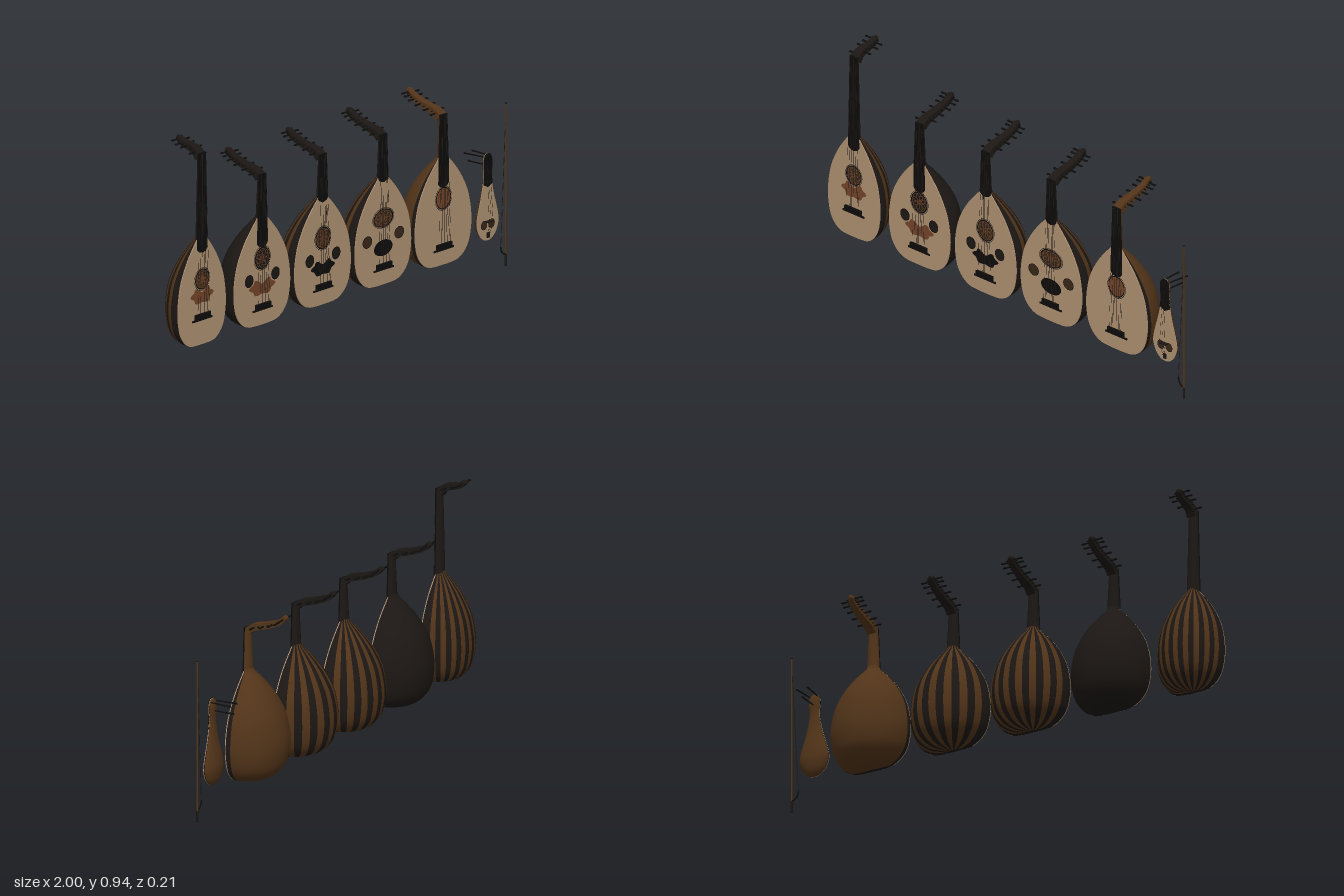
import * as THREE from 'three';

const FRONT = 0.083; // z of every soundboard
const paint = (color) => new THREE.MeshStandardMaterial({ color, side: THREE.DoubleSide });
const PALE = paint(0xb09272), BROWN = paint(0x523419), DARK = paint(0x1c1714);
const BLACK = paint(0x0d0c0b), RUST = paint(0x75452a), ROSE = paint(0x3a2819);

function add(parent, name, geo, mat, x = 0, y = 0, z = 0) {
  const m = new THREE.Mesh(geo, mat);
  m.name = name;
  m.position.set(x, y, z);
  parent.add(m);
  return m;
}

// Thin rod between two points
function rod(parent, name, a, b, r, mat, sides = 8, r2 = r) {
  const A = new THREE.Vector3(...a), B = new THREE.Vector3(...b);
  const m = add(parent, name, new THREE.CylinderGeometry(r2, r, A.distanceTo(B), sides), mat);
  m.position.copy(A).lerp(B, 0.5);
  m.quaternion.setFromUnitVectors(new THREE.Vector3(0, 1, 0), B.sub(A).normalize());
  return m;
}

const smooth = (pts, k = 1, n = 44) =>
  new THREE.SplineCurve(pts.map(([r, y]) => new THREE.Vector2(r * k, y))).getPoints(n)
    .map((p) => new THREE.Vector2(Math.max(p.x, 0), p.y));

// Flat plate with a mirrored outline
function plate(parent, name, profile, depth, mat, z) {
  const mirrored = profile.map((p) => new THREE.Vector2(-p.x, p.y)).reverse();
  const geo = new THREE.ExtrudeGeometry(new THREE.Shape([...profile, ...mirrored]), { depth, bevelEnabled: false });
  return add(parent, name, geo, mat, 0, 0, z);
}

// Half-round bowl from ribs in alternating woods, with dark rim strips
function bowl(parent, profile, ribs, woods, depthScale = 1) {
  const group = new THREE.Group();
  group.name = 'bowl';
  group.position.z = FRONT;
  group.scale.z = depthScale;
  parent.add(group);
  const rim = 0.13, step = (Math.PI - 2 * rim) / ribs;
  const slice = (name, start, length, mat) =>
    add(group, name, new THREE.LatheGeometry(profile, Math.ceil(length / 0.07), Math.PI / 2 + start, length), mat);
  slice('rimStrip', 0, rim, DARK);
  slice('rimStrip', Math.PI - rim, rim, DARK);
  for (let i = 0; i < ribs; i++) slice('rib', rim + i * step, step, woods[i % woods.length]);
}

// Sound hole: disc, rim rings and a small interlace
function soundHole(parent, x, y, rx, ry, mat, lattice) {
  const g = new THREE.Group();
  g.name = 'soundHole';
  g.position.set(x, y, 0.0855);
  g.scale.set(rx, ry, 1);
  parent.add(g);
  add(g, 'disc', new THREE.CircleGeometry(0.93, 40), mat);
  add(g, 'rimRing', new THREE.RingGeometry(0.9, 1, 40), BLACK, 0, 0, 0.0004);
  if (!lattice) return;
  add(g, 'outerRing', new THREE.RingGeometry(1.05, 1.1, 40), DARK);
  for (let i = 0; i < 8; i++) {
    const a = i * Math.PI / 4;
    add(g, 'lattice', new THREE.RingGeometry(0.36, 0.42, 20), RUST, 0.46 * Math.cos(a), 0.46 * Math.sin(a), 0.0006);
  }
}

// Cloud-shaped or oval guard below the sound hole
function pickGuard(parent, y, w, h, mat, oval) {
  const pts = [];
  for (let i = 0; i < 60; i++) {
    const a = i / 60 * Math.PI * 2;
    const k = oval ? 1 : 0.9 + 0.1 * Math.cos(6 * a);
    const notch = oval ? 0 : 0.5 * Math.exp(-(((a - Math.PI / 2) / 0.4) ** 2));
    pts.push(new THREE.Vector2(w * k * Math.cos(a), h * (k - notch) * Math.sin(a)));
  }
  add(parent, 'pickGuard', new THREE.ShapeGeometry(new THREE.Shape(pts)), mat, 0, y, 0.0856);
}

// Bent-back tapered pegbox with side pegs; path points are [z, y]
function pegbox(parent, path, pegs, mat) {
  const curve = new THREE.SplineCurve(path.map((p) => new THREE.Vector2(...p)));
  const upper = [], lower = [], zTip = path.at(-1)[0];
  for (let i = 0; i <= 24; i++) {
    const t = i / 24, p = curve.getPoint(t), d = curve.getTangent(t);
    const half = 0.015 - 0.006 * t;
    upper.push(new THREE.Vector2(p.x + d.y * half, p.y - d.x * half));
    lower.unshift(new THREE.Vector2(p.x - d.y * half, p.y + d.x * half));
  }
  const taper = (z) => 0.012 + 0.009 * (z - zTip) / (0.085 - zTip);
  const geo = new THREE.ExtrudeGeometry(new THREE.Shape([...upper, ...lower]), { depth: 2, bevelEnabled: false });
  geo.translate(0, 0, -1).rotateY(-Math.PI / 2);
  const pos = geo.attributes.position;
  for (let i = 0; i < pos.count; i++) pos.setX(i, pos.getX(i) * taper(pos.getZ(i)));
  geo.computeVertexNormals();
  add(parent, 'pegbox', geo, mat);
  const tip = curve.getPoint(1);
  add(parent, 'scrollTip', new THREE.SphereGeometry(0.011, 16, 12), mat, 0, tip.y - 0.003, tip.x);
  for (let i = 0; i < pegs; i++) {
    const p = curve.getPoint(0.16 + 0.7 * i / (pegs - 1)), side = i % 2 ? 1 : -1;
    rod(parent, 'pegShaft', [-side * 0.023, p.y, p.x], [side * 0.04, p.y, p.x], 0.0026, BLACK, 8, 0.0038);
    const head = add(parent, 'pegHead', new THREE.SphereGeometry(0.0065, 10, 8), BLACK, side * 0.043, p.y, p.x);
    head.scale.set(1.3, 0.6, 1);
  }
}

const LUTE = [[0, 0.09], [0.045, 0.0905], [0.09, 0.096], [0.128, 0.118], [0.155, 0.155], [0.168, 0.205],
  [0.171, 0.25], [0.166, 0.3], [0.153, 0.355], [0.13, 0.405], [0.098, 0.455], [0.06, 0.5], [0.033, 0.528], [0.024, 0.545]];
const SHORT_HEAD = [[0.076, 0.698], [0.05, 0.718], [-0.01, 0.735], [-0.06, 0.753], [-0.085, 0.77], [-0.095, 0.782]];
const LONG_HEAD = [[0.076, 0.862], [0.055, 0.888], [0.015, 0.901], [-0.01, 0.906], [-0.027, 0.917], [-0.036, 0.927]];

function lute(o) {
  const g = new THREE.Group();
  g.name = 'lute';
  g.position.x = o.x;
  const profile = smooth(LUTE, o.width ?? 1);
  bowl(g, profile, o.ribs, o.woods);
  plate(g, 'soundboard', profile, 0.004, PALE, FRONT - 0.002);
  const clasp = profile.filter((p) => p.y < 0.097).map((p) => new THREE.Vector2(p.x, p.y - 0.0008));
  add(g, 'endClasp', new THREE.LatheGeometry(clasp, 24, Math.PI * 0.5, Math.PI), DARK, 0, 0, FRONT).scale.z = 0.35;

  // Neck and fingerboard
  const nut = o.nut ?? 0.71;
  const neck = add(g, 'neck', new THREE.CylinderGeometry(0.02, 0.029, nut - 0.515, 20, 1, false, Math.PI / 2, Math.PI),
    o.neck, 0, (nut + 0.515) / 2, FRONT + 0.002);
  neck.scale.z = 0.85;
  const boardEnd = [[0, o.board - 0.006], [0.02, o.board], [0.031, o.board + 0.012], [0.029, 0.53], [0.021, nut], [0, nut]];
  plate(g, 'fingerboard', boardEnd.map((p) => new THREE.Vector2(...p)), 0.005, BLACK, FRONT + 0.0005);
  add(g, 'nut', new THREE.BoxGeometry(0.042, 0.006, 0.009), BLACK, 0, nut, 0.0855);
  pegbox(g, o.nut ? LONG_HEAD : SHORT_HEAD, o.pegs ?? 11, o.neck);

  // Bridge and strings
  const by = o.bridge ?? 0.165;
  add(g, 'bridge', new THREE.BoxGeometry(0.09, 0.024, 0.011), BLACK, 0, by + 0.002, 0.089);
  add(g, 'bridgeFoot', new THREE.BoxGeometry(0.12, 0.007, 0.005), BLACK, 0, by - 0.011, 0.087);
  for (let i = 0; i < 6; i++) for (const d of i ? [-1, 1] : [0]) {
    const u = (i - 2.5) / 2.5 + d * 0.08;
    rod(g, 'string', [u * 0.034, by, 0.0935], [u * 0.016, nut, 0.0905], 0.0005, DARK, 4);
  }

  o.holes.forEach(([x, y, rx, ry, mat], i) => soundHole(g, x, y, rx, ry, mat, i === 0));
  pickGuardsOf(g, o.guard);
  return g;
}
const pickGuardsOf = (g, guard) => guard && pickGuard(g, ...guard);

// Small bowed fiddle with rear pegs
function fiddle() {
  const g = new THREE.Group();
  g.name = 'fiddle';
  g.position.x = 0.885;
  const profile = smooth([[0, 0.13], [0.022, 0.134], [0.048, 0.155], [0.064, 0.19], [0.065, 0.22], [0.054, 0.265],
    [0.04, 0.31], [0.028, 0.36], [0.022, 0.405], [0.026, 0.44], [0.024, 0.47], [0.012, 0.487], [0, 0.49]]);
  bowl(g, profile, 1, [BROWN], 0.52);
  plate(g, 'soundboard', profile, 0.003, PALE, FRONT - 0.001);
  const upper = profile.filter((p) => p.y > 0.36);
  plate(g, 'fingerboard', [new THREE.Vector2(0, 0.35), ...upper], 0.005, BLACK, FRONT);
  for (const s of [-1, 1]) soundHole(g, s * 0.023, 0.196, 0.019, 0.019, ROSE, false);
  add(g, 'bridge', new THREE.BoxGeometry(0.036, 0.005, 0.018), DARK, 0, 0.21, 0.094);
  add(g, 'tailpiece', new THREE.BoxGeometry(0.016, 0.022, 0.004), DARK, 0, 0.152, 0.087);
  for (const [i, y] of [[-1, 0.477], [0, 0.44], [1, 0.477]]) {
    rod(g, 'peg', [i * 0.016, y, 0.088], [i * 0.024, y, -0.016], 0.0025, BLACK, 8, 0.0035);
    add(g, 'pegHead', new THREE.SphereGeometry(0.006, 10, 8), BLACK, i * 0.024, y, -0.014).scale.set(0.7, 0.7, 1);
    rod(g, 'string', [i * 0.008, 0.44, 0.089], [i * 0.012, 0.21, 0.1035], 0.0005, DARK, 4);
    rod(g, 'stringTail', [i * 0.012, 0.21, 0.1035], [i * 0.006, 0.15, 0.089], 0.0005, DARK, 4);
  }
  return g;
}

// Bow standing upright: stick, hooked frog, hair
function bow() {
  const g = new THREE.Group();
  g.name = 'bow';
  const z = 0.087, x = 0.993;
  rod(g, 'stick', [x, 0, z], [x, 0.68, z], 0.004, BROWN, 10, 0.003);
  rod(g, 'grip', [x, 0.0, z], [x, 0.05, z], 0.0047, DARK, 10);
  add(g, 'tip', new THREE.SphereGeometry(0.0045, 10, 8), DARK, x, 0.675, z);
  const hook = new THREE.CatmullRomCurve3([[x, 0.05], [0.98, 0.053], [0.967, 0.066], [0.961, 0.085]]
    .map(([a, b]) => new THREE.Vector3(a, b, z)));
  add(g, 'frog', new THREE.TubeGeometry(hook, 16, 0.003, 8), BLACK);
  for (const d of [-1, 1]) rod(g, 'hair', [0.962, 0.08, z + d * 0.001], [x, 0.64, z + d * 0.001], 0.0007, DARK, 4);
  return g;
}

export function createModel() {
  const root = new THREE.Group();
  root.name = 'stringInstruments';
  const striped = [DARK, BROWN];
  const trio = (mat) => [[0, 0.365, 0.046, 0.046, mat], [-0.08, 0.285, 0.026, 0.026, DARK], [0.08, 0.285, 0.026, 0.026, DARK]];
  [
    { x: -0.853, width: 0.85, ribs: 19, woods: striped, neck: DARK, nut: 0.88, pegs: 7, board: 0.475, bridge: 0.205,
      holes: [[0, 0.36, 0.043, 0.043, ROSE]], guard: [0.295, 0.07, 0.038, RUST] },
    { x: -0.487, ribs: 15, woods: [DARK], neck: DARK, board: 0.415, holes: trio(DARK), guard: [0.248, 0.08, 0.038, RUST] },
    { x: -0.118, ribs: 17, woods: striped, neck: DARK, board: 0.52, holes: trio(ROSE), guard: [0.245, 0.073, 0.036, BLACK] },
    { x: 0.249, ribs: 15, woods: striped, neck: DARK, board: 0.52, guard: [0.242, 0.056, 0.033, BLACK, true],
      holes: [[0, 0.365, 0.06, 0.038, ROSE], [-0.097, 0.285, 0.029, 0.025, ROSE], [0.097, 0.285, 0.029, 0.025, ROSE]] },
    { x: 0.615, ribs: 15, woods: [BROWN], neck: BROWN, board: 0.415, holes: [[0, 0.365, 0.046, 0.046, RUST]] },
  ].forEach((o) => root.add(lute(o)));
  root.add(fiddle(), bow());
  return root;
}
